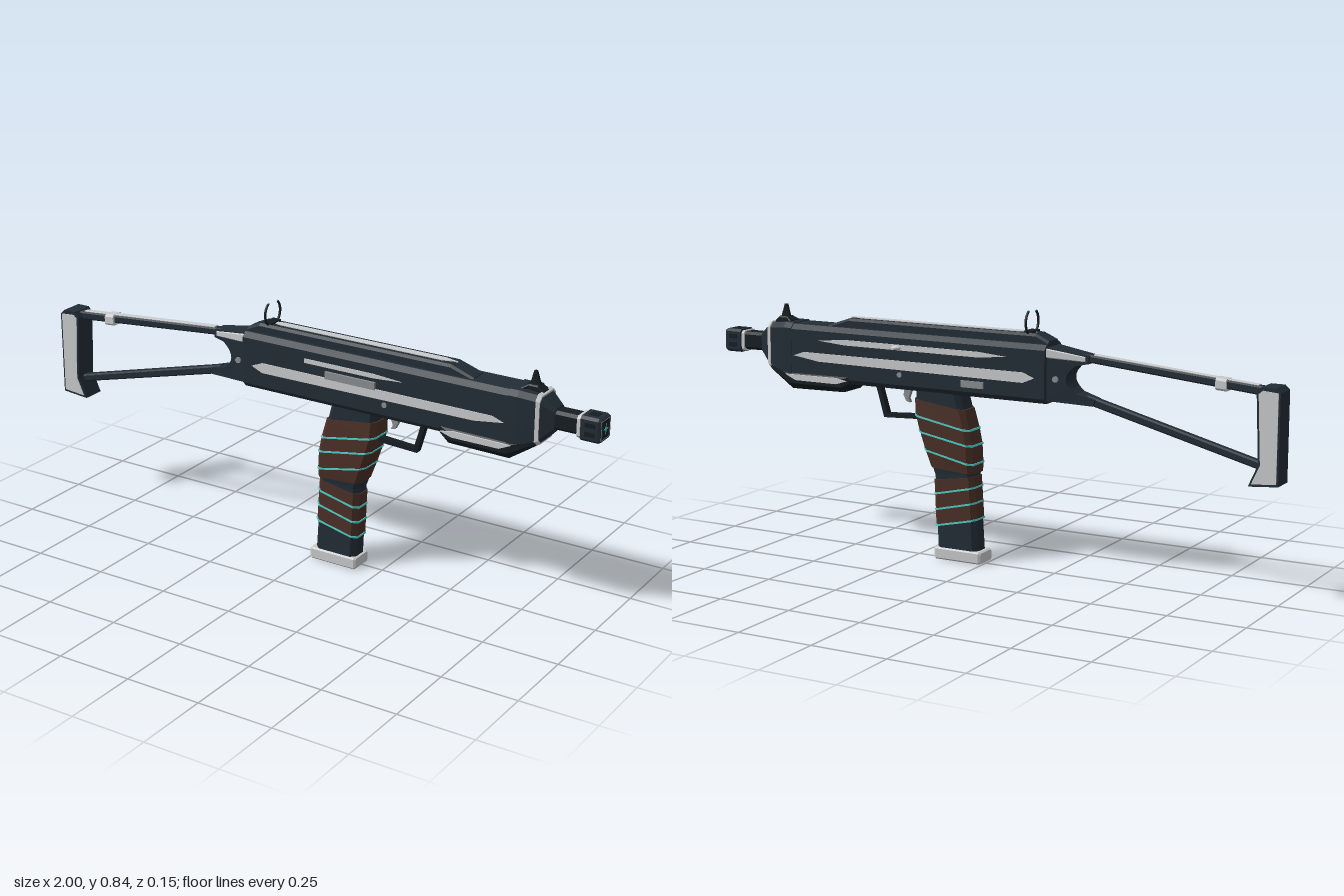
import * as THREE from 'three';

const mat = (name, color) => Object.assign(new THREE.MeshStandardMaterial({ color }), { name });

export function createModel() {
  const dark = mat('dark navy', 0x222d36), black = mat('near black', 0x161d22);
  const silver = mat('silver', 0xcacbcc), grey = mat('mid grey', 0x8b8e92);
  const brown = mat('brown wrap', 0x4b3027), cyan = mat('cyan', 0x4fd0c8);
  const root = new THREE.Group();
  root.name = 'prop';
  const add = (name, geo, m, x = 0, y = 0, z = 0) => {
    const mesh = new THREE.Mesh(geo, m);
    mesh.name = name;
    mesh.position.set(x, y, z);
    root.add(mesh);
    return mesh;
  };
  const box = (name, m, w, h, d, x, y, z = 0) => add(name, new THREE.BoxGeometry(w, h, d), m, x, y, z);

  // Faceted loft through chamfered sections [ax, ay, bx, by, halfWidth, chamfer]
  const loft = (sections) => {
    const rings = sections.map(([ax, ay, bx, by, w, c]) => {
      const len = Math.hypot(bx - ax, by - ay);
      return [[len, -w + c], [len, w - c], [len - c, w], [c, w], [0, w - c], [0, -w + c], [c, -w], [len - c, -w]]
        .map(([s, z]) => [ax + (bx - ax) * s / len, ay + (by - ay) * s / len, z]);
    });
    const pos = [], tri = (...p) => p.forEach((q) => pos.push(...q));
    for (let j = 0; j < rings.length - 1; j++) {
      const A = rings[j], B = rings[j + 1];
      for (let i = 0; i < 8; i++) {
        const k = (i + 1) % 8;
        tri(A[i], A[k], B[i]);
        tri(A[k], B[k], B[i]);
      }
    }
    const S = rings[0], E = rings[rings.length - 1];
    for (let i = 1; i < 7; i++) {
      tri(S[0], S[i + 1], S[i]);
      tri(E[0], E[i], E[i + 1]);
    }
    const g = new THREE.BufferGeometry();
    g.setAttribute('position', new THREE.Float32BufferAttribute(pos, 3));
    g.computeVertexNormals();
    return g;
  };
  // Loft along x from [x, bottom, top, halfWidth, chamfer]
  const hull = (name, m, list) => add(name, loft(list.map(([x, y0, y1, w, c]) => [x, y0, x, y1, w, c])), m);
  const shapeOf = (pts) => new THREE.Shape(pts.map(([x, y]) => new THREE.Vector2(x, y)));
  const slab = (pts, d) => new THREE.ExtrudeGeometry(shapeOf(pts), { depth: d, bevelEnabled: false }).translate(0, 0, -d / 2);
  const stripe = (name, m, z, pts) => add(name, slab(pts, 0.006), m, 0, 0, z);

  // Receiver, top rail, fore-end and nose
  hull('receiver', dark, [[-0.235, 0.55, 0.735, 0.06, 0.016], [0.72, 0.55, 0.735, 0.06, 0.016]]);
  hull('topRail', dark, [[-0.235, 0.72, 0.745, 0.036, 0.008], [-0.19, 0.72, 0.765, 0.034, 0.008],
    [0.5, 0.72, 0.765, 0.034, 0.008], [0.58, 0.72, 0.738, 0.034, 0.006]]);
  hull('foreEnd', black, [[0.485, 0.545, 0.585, 0.06, 0.01], [0.51, 0.522, 0.585, 0.067, 0.018],
    [0.715, 0.518, 0.585, 0.067, 0.02], [0.8, 0.575, 0.6, 0.052, 0.008]]);
  hull('noseBlock', dark, [[0.71, 0.54, 0.738, 0.062, 0.016], [0.74, 0.55, 0.738, 0.062, 0.016], [0.8, 0.58, 0.732, 0.053, 0.016]]);
  hull('noseRing', silver, [[0.798, 0.574, 0.737, 0.056, 0.016], [0.81, 0.58, 0.732, 0.054, 0.016]]);
  hull('noseTaper', dark, [[0.808, 0.582, 0.728, 0.052, 0.016], [0.85, 0.625, 0.695, 0.032, 0.01]]);
  hull('barrel', black, [[0.83, 0.63, 0.69, 0.028, 0.009], [0.94, 0.63, 0.69, 0.028, 0.009]]);
  hull('barrelRing', silver, [[0.922, 0.625, 0.693, 0.034, 0.008], [0.932, 0.625, 0.693, 0.034, 0.008]]);
  hull('muzzle', dark, [[0.935, 0.62, 0.697, 0.037, 0.008], [0.99, 0.62, 0.697, 0.037, 0.008], [0.998, 0.624, 0.693, 0.033, 0.006]]);
  for (const s of [-1, 1]) {
    for (const y of [0.645, 0.673]) box('muzzleVent', black, 0.032, 0.014, 0.004, 0.965, y, s * 0.037);
  }
  box('muzzleTopVent', black, 0.03, 0.004, 0.03, 0.965, 0.697);

  // Muzzle face: thin frame and four-pointed spark
  const square = (w) => [[-w, -w], [w, -w], [w, w], [-w, w]];
  const frame = shapeOf(square(0.03));
  frame.holes.push(shapeOf(square(0.0285)));
  const face = (name, geo, m, x) => { add(name, geo, m, x, 0.6585, 0).rotation.y = Math.PI / 2; };
  face('muzzleFrame', new THREE.ExtrudeGeometry(frame, { depth: 0.001, bevelEnabled: false }), grey, 0.998);
  box('muzzleBore', black, 0.001, 0.056, 0.036, 0.9983, 0.6585);
  const star = Array.from({ length: 8 }, (_, i) => {
    const r = i % 2 ? 0.004 : 0.018, a = i * Math.PI / 4;
    return [r * Math.cos(a), r * Math.sin(a)];
  });
  face('muzzleSpark', slab(star, 0.001), cyan, 0.9993);

  // Painted side stripes
  for (const s of [-1, 1]) {
    stripe('longSideStripe', silver, s * 0.06, [[-0.2, 0.63], [-0.16, 0.613], [0.6, 0.618], [0.7, 0.632], [0.66, 0.646], [-0.16, 0.646]]);
    stripe('foreEndStripe', silver, s * 0.0665, [[0.49, 0.562], [0.53, 0.55], [0.69, 0.55], [0.73, 0.568], [0.53, 0.57]]);
    add('receiverPin', new THREE.CylinderGeometry(0.009, 0.009, 0.006, 10).rotateX(Math.PI / 2), grey, 0.29, 0.6, s * 0.06);
    add('stockPin', new THREE.CylinderGeometry(0.01, 0.01, 0.006, 10).rotateX(Math.PI / 2), grey, -0.265, 0.63, s * 0.044);
  }
  stripe('leftUpperStripe', silver, 0.06, [[0, 0.68], [0.25, 0.68], [0.35, 0.687], [0.25, 0.694], [0, 0.694]]);
  stripe('rightUpperStripe', silver, -0.06, [[-0.1, 0.69], [0, 0.68], [0.5, 0.68], [0.6, 0.688], [0.5, 0.698], [0, 0.698]]);
  box('ejectionCover', grey, 0.18, 0.024, 0.012, 0.168, 0.656, 0.062);
  box('rightCatch', grey, 0.08, 0.022, 0.01, 0.02, 0.592, -0.06);
  const top = add('topStripe', slab([[-0.18, 0], [-0.12, 0.013], [0.46, 0.013], [0.51, 0], [0.46, -0.013], [-0.12, -0.013]], 0.004), silver, 0, 0.7655, 0);
  top.rotation.x = -Math.PI / 2;

  // Charging handle
  add('chargingHandle', new THREE.CylinderGeometry(0.004, 0.013, 0.03, 8).scale(1.8, 1, 0.8).rotateX(-Math.PI / 2), silver, 0.3, 0.688, -0.07);

  // Sights: open ring at the back, post at the front
  const arc = (from, len) => new THREE.TorusGeometry(0.042, 0.004, 6, 24, len).rotateZ(from).rotateY(Math.PI / 2);
  add('rearSightRing', arc(Math.PI / 2 + 0.62, Math.PI * 2 - 1.24), black, -0.16, 0.797, 0);
  for (const a of [Math.PI / 2 + 0.54, Math.PI / 2 - 0.64]) add('rearSightTip', arc(a, 0.1), cyan, -0.16, 0.797, 0);
  box('rearSightBase', black, 0.03, 0.012, 0.05, -0.16, 0.765);
  hull('frontSightBase', black, [[0.735, 0.73, 0.74, 0.03, 0.004], [0.755, 0.73, 0.752, 0.02, 0.004],
    [0.785, 0.73, 0.752, 0.02, 0.004], [0.805, 0.725, 0.734, 0.02, 0.004]]);
  add('frontSightPost', slab([[0.752, 0.745], [0.788, 0.745], [0.772, 0.792], [0.764, 0.792]], 0.01), black);

  // Folding stock: tapering yoke, two struts, end plate
  const yoke = shapeOf([[-0.225, 0.56], [-0.225, 0.728], [-0.37, 0.708], [-0.37, 0.683], [-0.33, 0.676]]);
  yoke.quadraticCurveTo(-0.265, 0.63, -0.33, 0.588);
  yoke.lineTo(-0.39, 0.572);
  yoke.lineTo(-0.385, 0.552);
  const yokeGeo = new THREE.ExtrudeGeometry(yoke, { depth: 0.09, bevelEnabled: false, curveSegments: 10 }).translate(0, 0, -0.045);
  const yp = yokeGeo.attributes.position;
  for (let i = 0; i < yp.count; i++) {
    yp.setZ(i, yp.getZ(i) * THREE.MathUtils.clamp(1 + (yp.getX(i) + 0.235) * 3.2, 0.4, 1));
  }
  yokeGeo.computeVertexNormals();
  add('stockYoke', yokeGeo, dark);
  hull('yokeTrim', silver, [[-0.36, 0.688, 0.706, 0.029, 0.003], [-0.235, 0.695, 0.724, 0.0475, 0.003]]);
  hull('upperStrut', dark, [[-0.95, 0.632, 0.66, 0.015, 0.005], [-0.34, 0.688, 0.712, 0.015, 0.005]]);
  hull('upperStrutStripe', silver, [[-0.92, 0.658, 0.665, 0.01, 0.001], [-0.38, 0.706, 0.712, 0.01, 0.001]]);
  hull('strutCollar', silver, [[-0.822, 0.637, 0.674, 0.024, 0.007], [-0.788, 0.639, 0.677, 0.024, 0.007]]);
  hull('lowerStrut', dark, [[-0.95, 0.404, 0.43, 0.014, 0.005], [-0.36, 0.555, 0.583, 0.014, 0.005]]);
  const butt = [[-1, 0.37], [-0.905, 0.362], [-0.935, 0.43], [-0.925, 0.645], [-0.94, 0.664], [-0.985, 0.664], [-1, 0.65]];
  add('stockEndPlate', slab(butt, 0.076), dark);
  for (const s of [-1, 1]) {
    stripe('stockSidePanel', silver, s * 0.037, [[-0.994, 0.377], [-0.915, 0.37], [-0.942, 0.43], [-0.932, 0.643], [-0.945, 0.654], [-0.994, 0.65]]);
  }

  // Grip and lower extension: slanted sections between two edge curves
  const edge = (pts) => (y) => {
    let i = 0;
    while (i < pts.length - 2 && y < pts[i + 1][0]) i++;
    const [y0, x0] = pts[i], [y1, x1] = pts[i + 1];
    return x0 + (x1 - x0) * (y - y0) / (y1 - y0);
  };
  const backEdge = edge([[0.56, 0.085], [0.4, 0.042], [0.29, 0.036], [0.04, 0.02]]);
  const frontEdge = edge([[0.56, 0.247], [0.46, 0.24], [0.29, 0.181], [0.04, 0.17]]);
  const wrap = (name, m, w, grow, rows) => add(name, loft(rows.map(([l, r, dw = 0]) =>
    [backEdge(l) - grow, l, frontEdge(r) + grow, r, w + grow + dw, 0.016])), m);
  wrap('gripCore', dark, 0.045, 0, [[0.56, 0.56], [0.48, 0.51], [0.385, 0.42], [0.325, 0.363], [0.29, 0.28, -0.006]]);
  wrap('gripWrap', brown, 0.045, 0.005, [[0.5, 0.525, -0.003], [0.435, 0.472], [0.385, 0.42], [0.325, 0.363], [0.295, 0.305, -0.005]]);
  wrap('lowerCore', dark, 0.036, 0, [[0.31, 0.29], [0.25, 0.215], [0.145, 0.11], [0.04, 0.04]]);
  wrap('lowerWrap', brown, 0.036, 0.003, [[0.285, 0.262], [0.25, 0.215], [0.2, 0.163], [0.145, 0.11]]);
  for (const [l, r] of [[0.435, 0.472], [0.385, 0.42], [0.325, 0.363]]) {
    wrap('gripBand', cyan, 0.045, 0.007, [[l + 0.003, r + 0.003], [l - 0.003, r - 0.003]]);
  }
  for (const [l, r] of [[0.25, 0.215], [0.2, 0.163], [0.145, 0.11]]) {
    wrap('lowerBand', cyan, 0.036, 0.005, [[l + 0.003, r + 0.003], [l - 0.003, r - 0.003]]);
  }
  hull('basePlate', silver, [[0.005, 0.002, 0.036, 0.036, 0.005], [0.012, 0, 0.04, 0.041, 0.005],
    [0.17, 0, 0.04, 0.041, 0.005], [0.177, 0.004, 0.038, 0.036, 0.005]]);

  // Trigger and guard
  add('triggerGuard', slab([[0.225, 0.452], [0.38, 0.445], [0.412, 0.555], [0.397, 0.555], [0.368, 0.459], [0.225, 0.468]], 0.024), black);
  add('trigger', slab([[0.275, 0.555], [0.29, 0.515], [0.283, 0.502], [0.298, 0.505], [0.308, 0.525], [0.303, 0.555]], 0.014), grey);

  root.position.z = 0.009;
  const model = new THREE.Group();
  model.add(root);
  return model;
}
